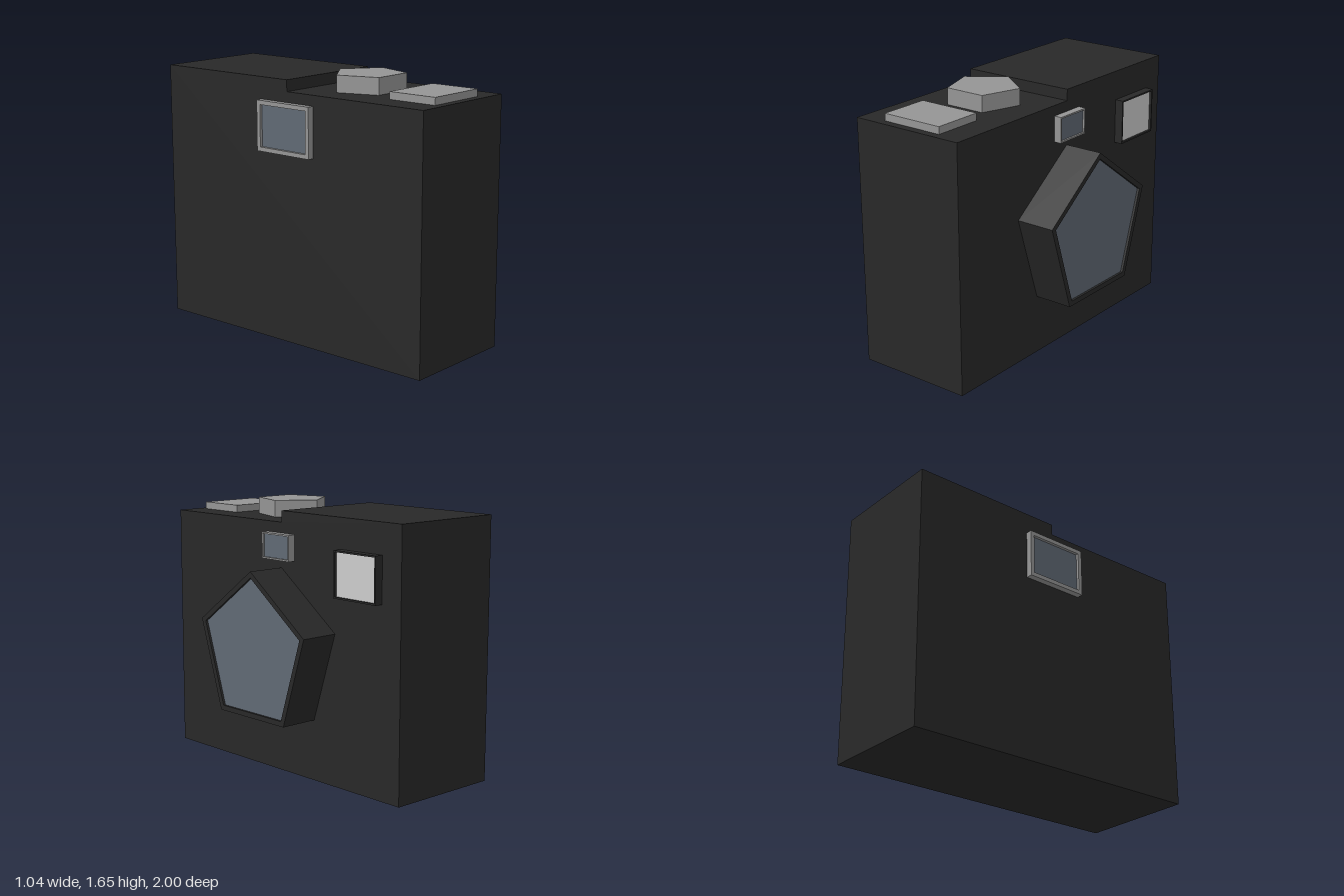
import * as THREE from 'three';

const mat = (color) => new THREE.MeshStandardMaterial({ color, flatShading: true });
const black = mat(0x282828), grey = mat(0x959595), glass = mat(0x606974), white = mat(0xcccccc);

// Outline helpers: arrays of Vector2
const rect = (x0, x1, y0, y1) =>
  [[x0, y0], [x1, y0], [x1, y1], [x0, y1]].map(([x, y]) => new THREE.Vector2(x, y));
const pentagon = (cx, cy, r) => Array.from({ length: 5 }, (_, i) => {
  const a = Math.PI / 2 + (i * Math.PI * 2) / 5;
  return new THREE.Vector2(cx + r * Math.cos(a), cy + r * Math.sin(a));
});

// Extrude an outline along the model's x axis from x0; side = 1 faces +x, -1 faces -x
function extrudeX(name, outline, hole, x0, depth, side, material) {
  const shape = new THREE.Shape(outline);
  if (hole) shape.holes.push(new THREE.Path(hole));
  const geo = new THREE.ExtrudeGeometry(shape, { depth, bevelEnabled: false });
  geo.rotateY(side * Math.PI / 2).translate(x0, 0, 0);
  const mesh = new THREE.Mesh(geo, material);
  mesh.name = name;
  return mesh;
}

// A rim with a slightly recessed panel inside it
function framed(name, outer, inner, x0, depth, recess, side, rimMat, panelMat) {
  const group = new THREE.Group();
  group.name = name;
  group.add(
    extrudeX(name + 'Rim', outer, inner, x0, depth, side, rimMat),
    extrudeX(name + 'Panel', inner, null, x0, depth - recess, side, panelMat),
  );
  return group;
}

// Raised control on the top deck, from an outline in (x, -z)
function topControl(name, outline, y, height) {
  const geo = new THREE.ExtrudeGeometry(new THREE.Shape(outline), { depth: height, bevelEnabled: false });
  geo.rotateX(-Math.PI / 2).translate(0, y, 0);
  const mesh = new THREE.Mesh(geo, grey);
  mesh.name = name;
  return mesh;
}

export function createModel() {
  const model = new THREE.Group();
  model.name = 'camera';
  const back = -0.48, front = 0.27, deck = 1.545, top = 1.615;

  // Stepped body
  const profile = [[-1, 0], [1, 0], [1, top], [0, top], [0, deck], [-1, deck]]
    .map(([x, y]) => new THREE.Vector2(x, y));
  model.add(extrudeX('body', profile, null, back, front - back, 1, black));

  // Lens, viewfinder window and flash on the +x face
  model.add(
    framed('lens', pentagon(0, 0.775, 0.495), pentagon(0, 0.775, 0.456), front, 0.247, 0.015, 1, black, glass),
    framed('viewfinderWindow', rect(-0.125, 0.12, 1.32, 1.48), rect(-0.115, 0.11, 1.33, 1.47),
      front, 0.049, 0.012, 1, grey, glass),
    framed('flash', rect(0.512, 0.852, 1.15, 1.43), rect(0.522, 0.842, 1.16, 1.42),
      front, 0.054, 0.015, 1, black, white),
  );

  // Eyepiece on the -x face
  model.add(framed('eyepiece', rect(-0.208, 0.203, 1.172, 1.48), rect(-0.182, 0.177, 1.198, 1.454),
    back, 0.04, 0.018, -1, grey, glass));

  // Dial and shutter button on the lower deck
  model.add(
    topControl('dial', pentagon(-0.105, -0.314, 0.224), deck, 0.103),
    topControl('shutterButton', rect(-0.308, 0.098, -0.95, -0.63), deck, 0.045),
  );
  return model;
}
